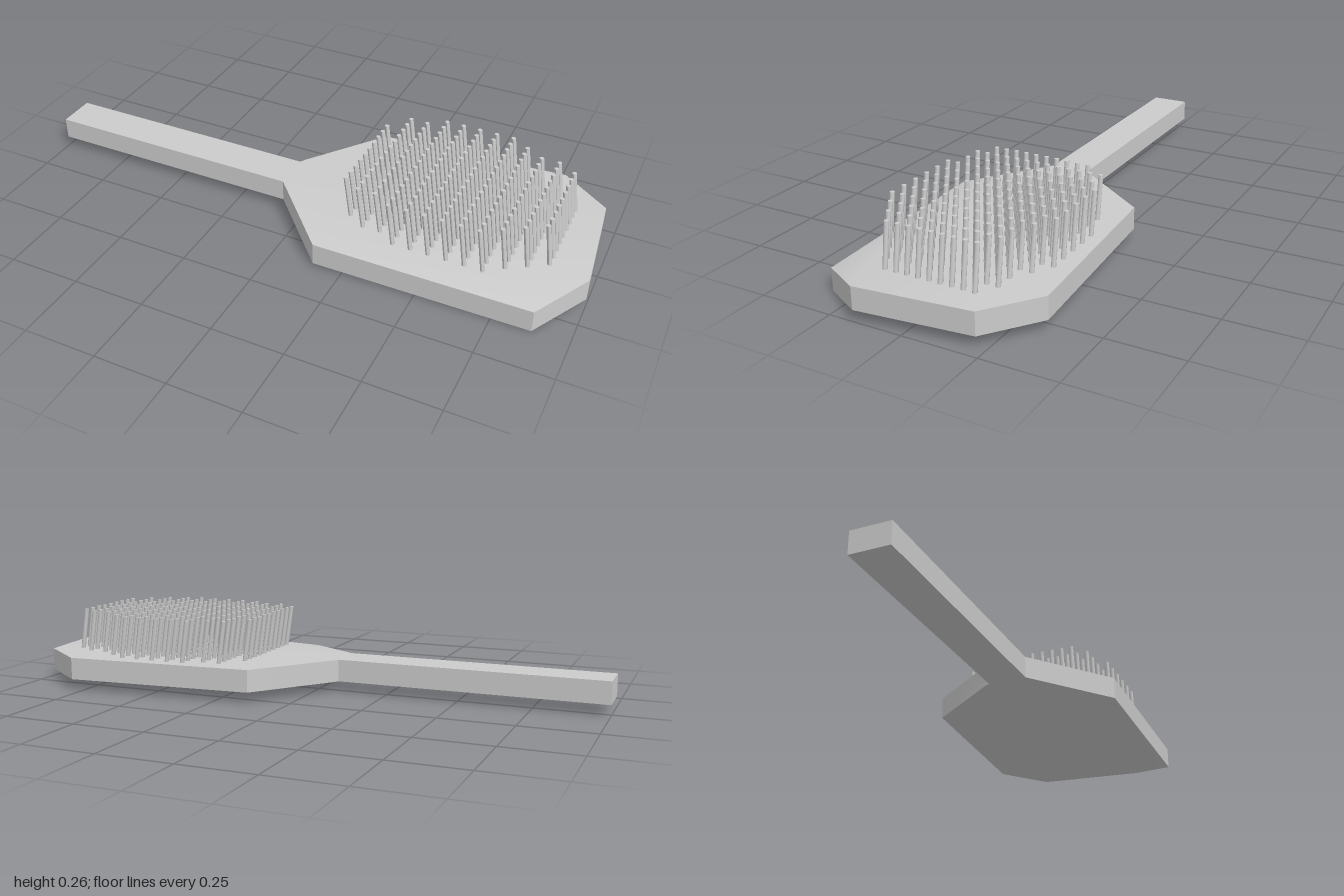
import * as THREE from 'three';
import { toCreasedNormals } from 'three/addons/utils/BufferGeometryUtils.js';

const THICKNESS = 0.076;
const TOP = 0.116;

// Corners as [x, z, height of the upper face], counter-clockwise from above
const corners = [
  [-1, 0.112, TOP], [-0.08, 0.112, TOP],                     // handle, front edge
  [0.15, 0.35, 0.09], [0.88, 0.337, 0.079],                  // drooping front corners
  [1, 0.165, TOP], [0.96, -0.22, TOP], [0.79, -0.35, TOP],   // tip and back
  [0.13, -0.305, TOP], [-0.07, -0.04, TOP],
  [-0.08, -0.022, TOP], [-1, -0.022, TOP],
  [0.3, 0.25, TOP], [0.72, 0.25, TOP],                       // inner fold points
];
const outline = [0, 1, 2, 3, 4, 5, 6, 7, 8, 9, 10];
const flatArea = [0, 1, 11, 12, 4, 5, 6, 7, 8, 9, 10];
const frontSlope = [1, 2, 3, 4, 12, 11];

// Handle and paddle in one slab: two faces joined by a wall
function slabGeometry() {
  const n = corners.length;
  const positions = [];
  for (const drop of [0, THICKNESS])
    for (const [x, z, y] of corners) positions.push(x, y - drop, z);

  const index = [];
  for (const loop of [flatArea, frontSlope]) {
    const points = loop.map((i) => new THREE.Vector2(corners[i][0], -corners[i][1]));
    for (const tri of THREE.ShapeUtils.triangulateShape(points, [])) {
      const [a, b, c] = tri.map((k) => loop[k]);
      index.push(a, b, c, a + n, c + n, b + n);
    }
  }
  outline.forEach((a, k) => {
    const b = outline[(k + 1) % outline.length];
    index.push(a + n, b + n, b, a + n, b, a);
  });

  const geometry = new THREE.BufferGeometry();
  geometry.setAttribute('position', new THREE.Float32BufferAttribute(positions, 3));
  geometry.setIndex(index);
  return toCreasedNormals(geometry, 0.6);
}

export function createModel() {
  const group = new THREE.Group();
  const material = new THREE.MeshStandardMaterial({ color: 0xcccccc });

  const slab = new THREE.Mesh(slabGeometry(), material);
  slab.name = 'handleAndPaddle';
  group.add(slab);

  // Bristles: first and last column of each row, back to front
  const rows = [[3, 7], [1, 8], [1, 10]];
  for (let i = 0; i < 9; i++) rows.push([0, 11]);
  rows.push([0, 10], [1, 9], [3, 8]);

  const bristles = new THREE.Group();
  bristles.name = 'bristles';
  const height = 0.153;
  const lean = 0.022;
  const shape = new THREE.CylinderGeometry(0.008, 0.008, height, 8);
  // Shear so every bristle leans towards the handle
  const p = shape.attributes.position;
  for (let i = 0; i < p.count; i++) p.setX(i, p.getX(i) - (p.getY(i) / height) * lean);
  shape.computeVertexNormals();

  rows.forEach(([first, last], r) => {
    for (let c = first; c <= last; c++) {
      const bristle = new THREE.Mesh(shape, material);
      bristle.name = 'bristle';
      bristle.position.set(0.199 + c * 0.06, 0.261 - height / 2, -0.278 + r * 0.0383);
      bristles.add(bristle);
    }
  });
  group.add(bristles);
  return group;
}
